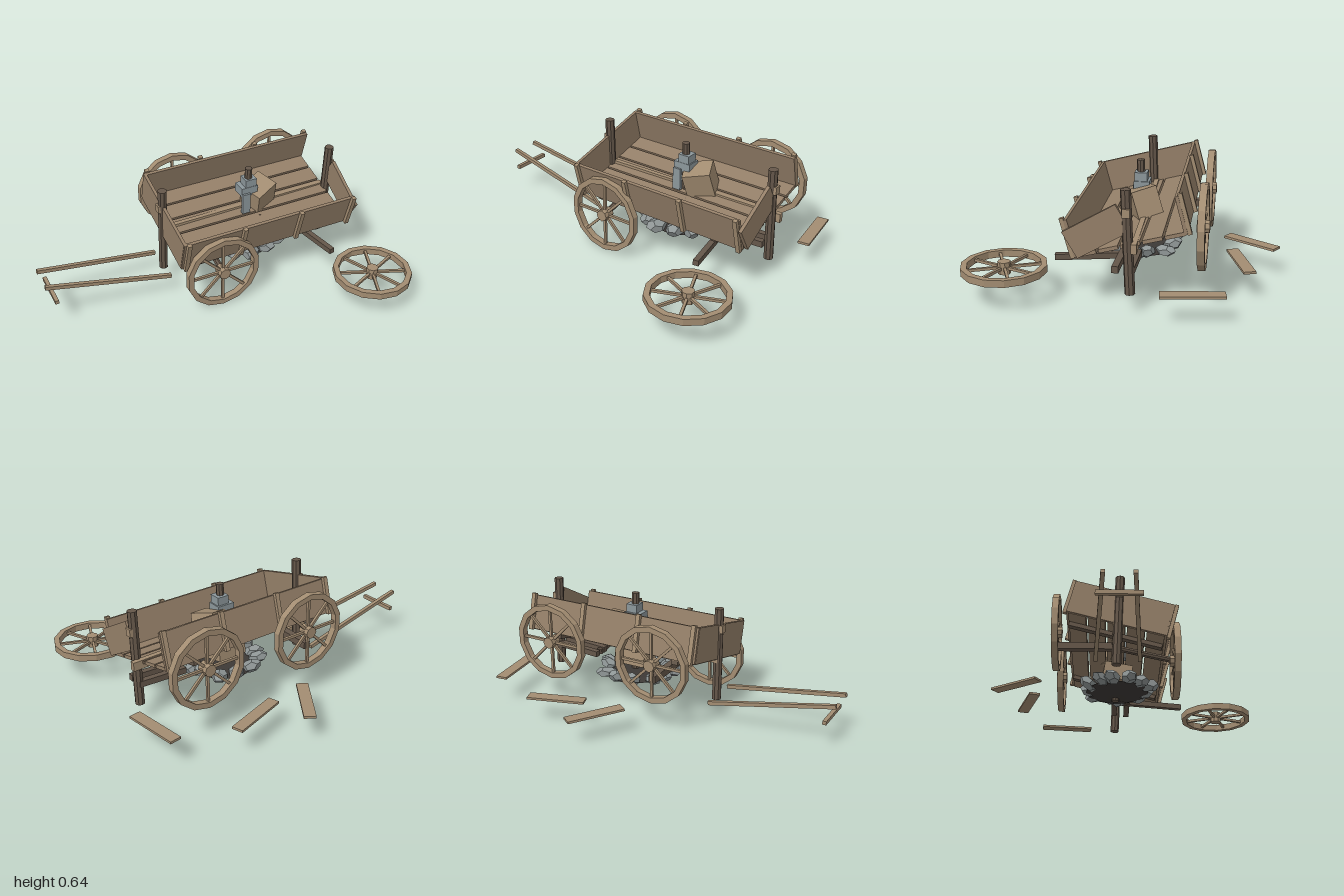
import * as THREE from 'three';

const mat = (name, color) => Object.assign(new THREE.MeshStandardMaterial({ color, flatShading: true }), { name });

export function createModel() {
  const wood = mat('paleWood', 0xa38d72);
  const boardWood = mat('boardWood', 0x947f68);
  const darkWood = mat('darkWood', 0x65574a);
  const stone = mat('stone', 0x8f9696);
  const iron = mat('iron', 0x8c979b);
  const soil = mat('darkSoil', 0x3d3936);
  const root = new THREE.Group();
  root.name = 'brokenWagon';

  const add = (parent, name, geo, material, x = 0, y = 0, z = 0) => {
    const m = new THREE.Mesh(geo, material);
    m.name = name;
    m.position.set(x, y, z);
    parent.add(m);
    return m;
  };
  const box = (parent, name, material, w, h, d, x, y, z) =>
    add(parent, name, new THREE.BoxGeometry(w, h, d), material, x, y, z);

  // Square beam between two points
  const beam = (name, material, from, to, w, h) => {
    const a = new THREE.Vector3(...from), b = new THREE.Vector3(...to);
    const m = add(root, name, new THREE.BoxGeometry(w, h, a.distanceTo(b)), material);
    m.position.copy(a).add(b).multiplyScalar(0.5);
    m.lookAt(b);
    return m;
  };

  // Round pole between two points
  const pole = (name, material, from, to, r) => {
    const a = new THREE.Vector3(...from), b = new THREE.Vector3(...to);
    const m = add(root, name, new THREE.CylinderGeometry(r, r, a.distanceTo(b), 8), material);
    m.position.copy(a).add(b).multiplyScalar(0.5);
    m.quaternion.setFromUnitVectors(new THREE.Vector3(0, 1, 0), b.sub(a).normalize());
    return m;
  };

  // Tilted wagon body
  const body = new THREE.Group();
  body.name = 'wagonBody';
  body.position.set(0.28, 0.355, -0.075);
  body.rotation.x = THREE.MathUtils.degToRad(14.7);
  root.add(body);
  const pitch = 0.114;
  for (let i = -2; i <= 2; i++) {
    box(body, 'floorPlank', boardWood, 1.09, 0.02, pitch - 0.012, 0, 0, i * pitch);
  }
  for (const x of [-0.42, 0.36]) box(body, 'floorCrossBeam', darkWood, 0.04, 0.025, 0.55, x, -0.022, 0);
  for (const s of [-1, 1]) {
    box(body, 'sideBoard', boardWood, 1.1, 0.2, 0.018, 0, 0.095, s * 0.284);
    for (const x of [-0.525, -0.18, 0.185, 0.535]) {
      box(body, 'sideBatten', wood, 0.025, 0.215, 0.022, x, 0.098, s * 0.302);
    }
  }
  box(body, 'endBoard', boardWood, 0.018, 0.2, 0.57, -0.543, 0.095, 0);

  // Loose tailgate, twisted up towards the post
  const gate = box(root, 'brokenTailgate', boardWood, 0.02, 0.155, 0.31, 0.842, 0.425, 0.09);
  gate.rotation.x = THREE.MathUtils.degToRad(30);

  // Beam along the floor, upright posts and their pegs
  beam('floorBeam', wood, [-0.27, 0.355, -0.08], [0.88, 0.352, -0.1], 0.028, 0.05);
  for (const x of [-0.262, 0.836, 0.285]) {
    pole('uprightPost', darkWood, [x, 0.1, -0.075], [x, 0.645, -0.055], x === 0.285 ? 0.022 : 0.027);
  }
  for (const x of [-0.285, 0.86]) box(root, 'postPeg', wood, 0.02, 0.045, 0.04, x, 0.53, -0.06);

  // Iron bracket on the middle post
  box(root, 'bracketCollar', iron, 0.105, 0.055, 0.085, 0.28, 0.505, -0.065);
  box(root, 'bracketTop', iron, 0.07, 0.05, 0.07, 0.29, 0.555, -0.06);
  box(root, 'bracketPlate', iron, 0.05, 0.13, 0.02, 0.255, 0.43, -0.02);

  // Crate lodged in the floor and the block beneath
  const crate = box(root, 'lodgedCrate', wood, 0.16, 0.16, 0.14, 0.37, 0.43, -0.085);
  crate.rotation.set(0.25, 0.42, 0.12);
  const block = box(root, 'lowerBlock', wood, 0.19, 0.1, 0.17, 0.285, 0.265, -0.07);
  block.rotation.set(0.15, 0.1, 0.03);

  // Spoked wheel, axis along local z
  const rimShape = new THREE.Shape();
  const hole = new THREE.Path();
  const sides = 14;
  for (let i = 0; i < sides; i++) {
    const a = (i + 0.5) * Math.PI * 2 / sides;
    const c = Math.cos(a), s = Math.sin(a);
    rimShape[i ? 'lineTo' : 'moveTo'](0.225 * c, 0.225 * s);
    hole[i ? 'lineTo' : 'moveTo'](0.193 * c, 0.193 * s);
  }
  rimShape.closePath();
  hole.closePath();
  rimShape.holes.push(hole);
  const rimGeo = new THREE.ExtrudeGeometry(rimShape, { depth: 0.038, bevelEnabled: false }).translate(0, 0, -0.019);
  const hubGeo = new THREE.CylinderGeometry(0.034, 0.034, 0.066, 8).rotateX(Math.PI / 2);
  const spokeGeo = new THREE.BoxGeometry(0.015, 0.18, 0.015).translate(0, 0.11, 0);
  const wheel = (name, x, y, z) => {
    const g = new THREE.Group();
    g.name = name;
    g.position.set(x, y, z);
    add(g, 'rim', rimGeo, wood);
    add(g, 'hub', hubGeo, wood);
    for (let i = 0; i < 8; i++) add(g, 'spoke', spokeGeo, wood).rotation.z = i * Math.PI / 4;
    root.add(g);
    return g;
  };
  wheel('frontWheel', -0.04, 0.226, 0.267);
  wheel('backWheel', -0.04, 0.4, -0.422);
  wheel('backWheel', 0.63, 0.4, -0.422);
  wheel('fallenWheel', 0.76, 0.175, 0.59).rotation.set(Math.PI / 2, 0, Math.PI / 8);

  // Broken axles and under-frame
  beam('backAxle', darkWood, [-0.04, 0.31, -0.1], [-0.04, 0.31, -0.42], 0.04, 0.04);
  pole('frontAxle', darkWood, [-0.04, 0.226, 0.27], [-0.04, 0.31, -0.1], 0.018);
  beam('axleStub', darkWood, [0.64, 0.2, 0.35], [0.57, 0.205, -0.04], 0.032, 0.032);
  for (const z of [-0.08, 0.0]) beam('frameRail', darkWood, [0.55, 0.21, z], [0.84, 0.225, z], 0.035, 0.035);
  pole('brace', darkWood, [0.32, 0.24, 0.02], [0.34, 0.34, 0.0], 0.015);

  // Pulling shafts and their fallen crossbar
  beam('shaft', wood, [-0.27, 0.125, -0.19], [-1, 0.262, -0.148], 0.022, 0.022);
  beam('shaft', wood, [-0.27, 0.125, 0.055], [-1, 0.262, 0.01], 0.022, 0.022);
  beam('shaftCrossbar', wood, [-0.953, 0.17, -0.185], [-0.953, 0.17, 0.05], 0.022, 0.022);

  // Planks lying behind the wagon
  const planks = [
    [0.085, -0.53, 0.265, -0.805],
    [0.31, -0.565, 0.625, -0.665],
    [0.917, -0.555, 0.96, -0.235],
  ];
  for (const [x1, z1, x2, z2] of planks) beam('fallenPlank', wood, [x1, 0.157, z1], [x2, 0.157, z2], 0.066, 0.013);

  // Mound of soil with a ring of broken stones
  const mound = [[0, 0.115], [0.06, 0.117], [0.14, 0.138], [0.19, 0.155], [0.15, 0.172], [0, 0.175]]
    .map(([r, y]) => new THREE.Vector2(r, y));
  add(root, 'soilMound', new THREE.LatheGeometry(mound, 14), soil, 0.28, 0, -0.065);
  let seed = 7;
  const rand = () => (seed = (seed * 16807) % 2147483647) / 2147483647;
  for (let i = 0; i < 12; i++) {
    const a = i * Math.PI / 6 + rand() * 0.25;
    const r = 0.17 + rand() * 0.025;
    const rock = add(root, 'stone', new THREE.DodecahedronGeometry(0.05, 0), stone,
      0.265 + Math.cos(a) * r * 1.08, 0.17 + rand() * 0.012, -0.06 + Math.sin(a) * r);
    rock.scale.set(1.1 + rand() * 0.4, 0.62 + rand() * 0.2, 0.8 + rand() * 0.3);
    rock.rotation.set(rand() * 0.5, -a, rand() * 0.5);
  }

  return root;
}
